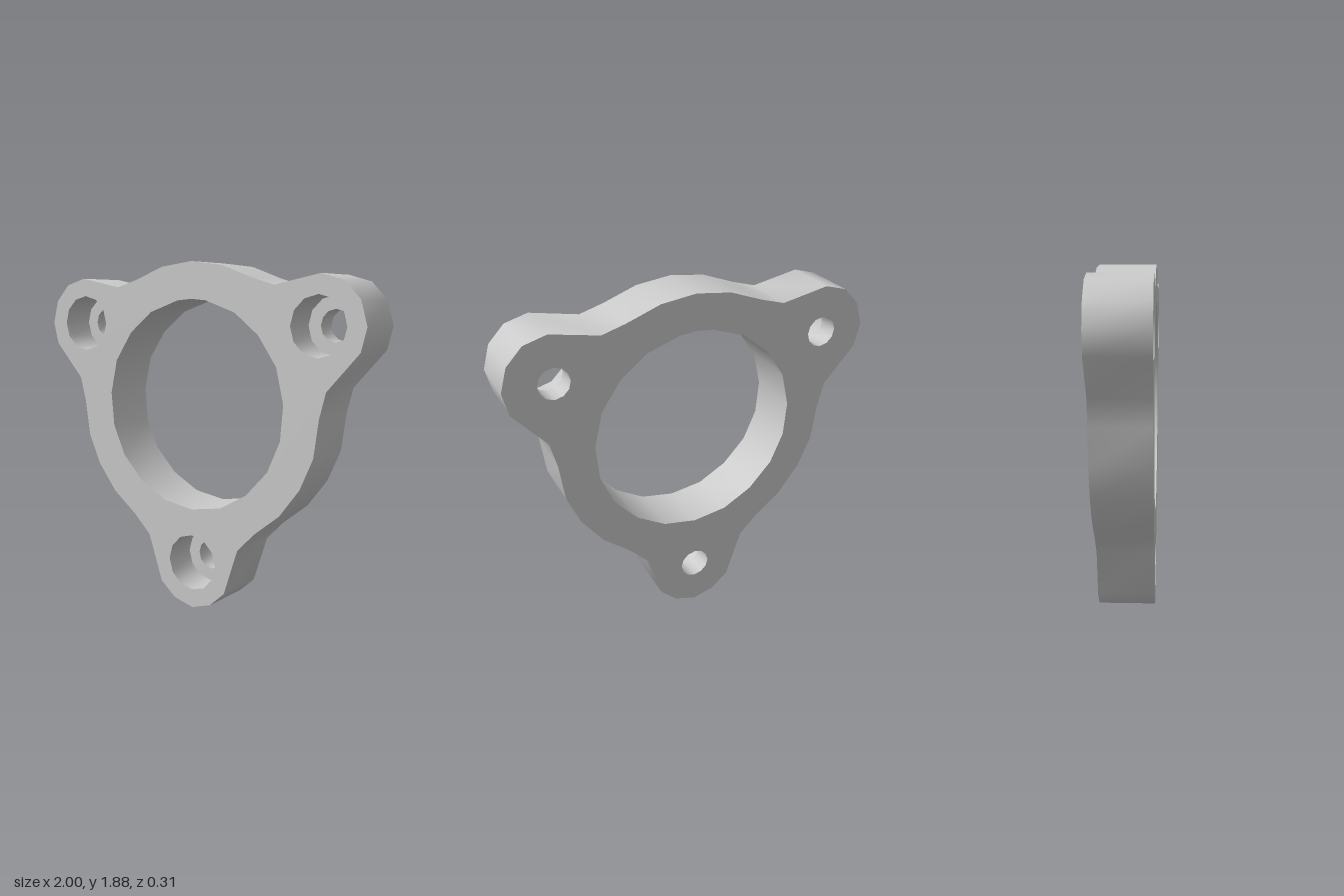
import * as THREE from 'three';
import { toCreasedNormals } from 'three/addons/utils/BufferGeometryUtils.js';

const HALF = 0.153;        // half thickness
const BORE = 0.153;        // counterbore radius
const HOLE = 0.083;        // through-hole radius
const LEDGE_Z = -0.037;    // floor of the counterbores
const CREASE = 0.6;
const BOLTS = [[0.746, 1.549], [-0.746, 1.549], [0, 0.255]];

// Closes a half profile (top to bottom, x >= 0) by mirroring it, counterclockwise
function mirrored(half) {
  const other = half.slice(1, -1).reverse().map(([x, y]) => [-x, y]);
  return [...half, ...other].reverse().map(([x, y]) => new THREE.Vector2(x, y));
}

function circle(cx, cy, r, sides = 12) {
  return Array.from({ length: sides }, (_, i) => {
    const a = (i / sides) * Math.PI * 2;
    return new THREE.Vector2(cx + r * Math.cos(a), cy + r * Math.sin(a));
  });
}

export function createModel() {
  const group = new THREE.Group();
  group.name = 'threeLobeFlange';
  const metal = new THREE.MeshStandardMaterial({ color: 0xcacaca });
  metal.name = 'light grey metal';

  // Flange body: ring with three lobes
  const outline = mirrored([
    [0, 1.877], [0.19, 1.853], [0.37, 1.787], [0.5, 1.749], [0.757, 1.8],
    [0.88, 1.765], [0.965, 1.675], [1, 1.55], [0.97, 1.43], [0.795, 1.235],
    [0.76, 1.1], [0.733, 0.905], [0.66, 0.74], [0.545, 0.59], [0.4, 0.475],
    [0.295, 0.37], [0.21, 0.115], [0.12, 0.035], [0, 0],
  ]);
  const opening = mirrored([
    [0, 1.683], [0.09, 1.675], [0.27, 1.613], [0.412, 1.5], [0.518, 1.345],
    [0.561, 1.16], [0.545, 0.975], [0.473, 0.81], [0.345, 0.673],
    [0.185, 0.583], [0, 0.553],
  ]);
  const shape = new THREE.Shape(outline);
  shape.holes.push(new THREE.Path(opening));
  for (const [x, y] of BOLTS) shape.holes.push(new THREE.Path(circle(x, y, BORE)));
  const bodyGeo = new THREE.ExtrudeGeometry(shape, { depth: HALF * 2, bevelEnabled: false });
  bodyGeo.translate(0, 0, -HALF);
  const body = new THREE.Mesh(toCreasedNormals(bodyGeo, CREASE), metal);
  body.name = 'flangeBody';
  group.add(body);

  // Bolt seats: ledge, narrow through-hole and back face inside each bore
  const profile = [[BORE, LEDGE_Z], [HOLE, LEDGE_Z], [HOLE, -HALF], [BORE, -HALF]]
    .map(([r, z]) => new THREE.Vector2(r, z));
  const seatGeo = new THREE.LatheGeometry(profile, 12);
  seatGeo.rotateX(Math.PI / 2);
  const creasedSeat = toCreasedNormals(seatGeo, CREASE);
  BOLTS.forEach(([x, y], i) => {
    const seat = new THREE.Mesh(creasedSeat, metal);
    seat.name = ['leftBoltSeat', 'rightBoltSeat', 'bottomBoltSeat'][i];
    seat.position.set(x, y, 0);
    group.add(seat);
  });
  return group;
}
